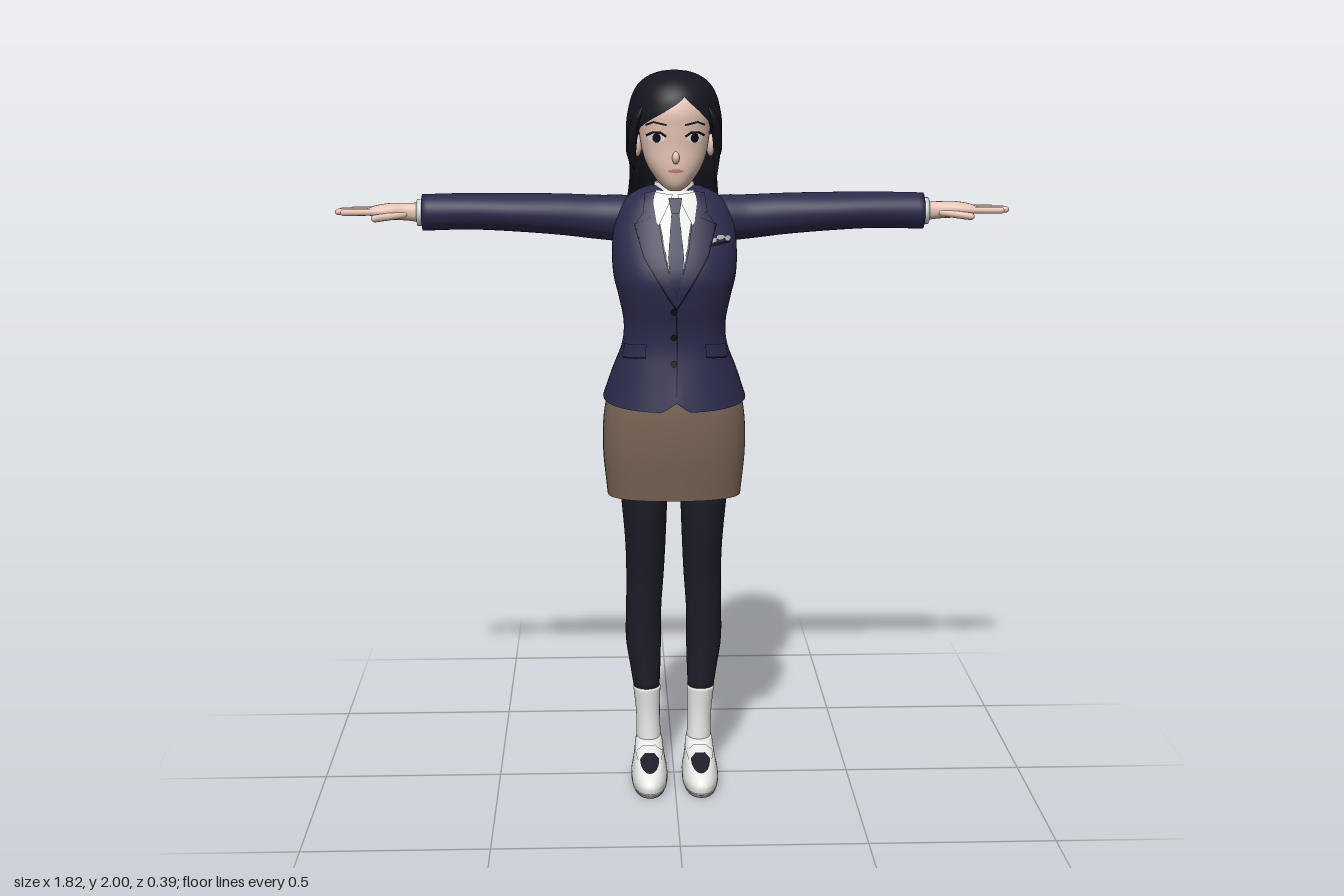
import * as THREE from 'three';
import { mergeVertices } from 'three/addons/utils/BufferGeometryUtils.js';

const paint = (name, color) => {
  const m = new THREE.MeshStandardMaterial({ color, side: THREE.DoubleSide });
  m.name = name;
  return m;
};

// Smooth lookup in a table of rows [t, a, b, ...], ascending in t
function at(rows, t) {
  let i = 0;
  while (i < rows.length - 2 && rows[i + 1][0] < t) i++;
  const slope = (k, c) => {
    const a = rows[Math.max(k - 1, 0)], b = rows[Math.min(k + 1, rows.length - 1)];
    return (b[c] - a[c]) / (b[0] - a[0]);
  };
  const A = rows[i], B = rows[i + 1], h = B[0] - A[0], s = THREE.MathUtils.clamp((t - A[0]) / h, 0, 1);
  const s2 = s * s, s3 = s2 * s;
  return A.map((v, c) => c === 0 ? t : (2 * s3 - 3 * s2 + 1) * v + (s3 - 2 * s2 + s) * h * slope(i, c)
    + (3 * s2 - 2 * s3) * B[c] + (s3 - s2) * h * slope(i + 1, c));
}

// Surface from a grid of points fn(u, v), u and v in 0..1
function grid(nu, nv, fn) {
  const pos = [], idx = [];
  for (let j = 0; j <= nv; j++) for (let i = 0; i <= nu; i++) pos.push(...fn(i / nu, j / nv, j));
  for (let j = 0; j < nv; j++) for (let i = 0; i < nu; i++) {
    const a = j * (nu + 1) + i, b = a + nu + 1;
    idx.push(a, a + 1, b + 1, a, b + 1, b);
  }
  let g = new THREE.BufferGeometry();
  g.setAttribute('position', new THREE.Float32BufferAttribute(pos, 3));
  g.setIndex(idx);
  g = mergeVertices(g, 1e-5);
  g.computeVertexNormals();
  return g;
}

const spow = (v, e) => Math.sign(v) * Math.abs(v) ** e;

// Closed upright body from rows [y, centreX, halfWidth, zFront, zBack]
function loft(rows, { p = 2, nv = 28, nu = 40, caps = true, warp = null } = {}) {
  const y0 = rows[0][0], y1 = rows[rows.length - 1][0], extra = caps ? 1 : 0;
  return grid(nu, nv + 2 * extra, (u, _, j) => {
    const k = THREE.MathUtils.clamp((j - extra) / nv, 0, 1);
    const [y, cx, hw, zf, zb] = at(rows, y0 + (y1 - y0) * k);
    const r = caps && (j === 0 || j === nv + 2) ? 0 : 1;
    const a = (u * 2 - 1) * Math.PI, e = 2 / p;
    const v = [cx + r * hw * spow(Math.sin(a), e), y, (zf + zb) / 2 + r * (zf - zb) / 2 * spow(Math.cos(a), e)];
    if (warp) warp(v);
    return v;
  });
}

// Front surface depth of a loft, for details that lie on it
const front = (rows, p = 2) => (x, y) => {
  const [, cx, hw, zf, zb] = at(rows, y);
  const u = Math.min(0.998, Math.abs(x - cx) / hw);
  return (zf + zb) / 2 + (zf - zb) / 2 * (1 - u ** p) ** (1 / p);
};

// Thin plate on a surface; each row is a segment [xa, ya, xb, yb]
function drape(surf, rows, off) {
  const n = (rows.length - 1) * 4;
  const g = grid(8, n, (u, v) => {
    const f = v * (rows.length - 1), i = Math.min(Math.floor(f), rows.length - 2), k = f - i;
    const [xa, ya, xb, yb] = rows[i].map((q, c) => q + (rows[i + 1][c] - q) * k);
    const x = xa + (xb - xa) * u, y = ya + (yb - ya) * u;
    return [x, y, surf(x, y) + off];
  });
  const N = g.attributes.normal;
  let sum = 0;
  for (let i = 0; i < N.count; i++) sum += N.getZ(i);
  if (sum < 0) {
    g.index.array.reverse();
    g.computeVertexNormals();
  }
  return g;
}
const oval = (cx, cy, rx, ry) => Array.from({ length: 9 }, (_, i) => {
  const a = Math.PI * i / 8, x = cx - rx * Math.cos(a), h = ry * Math.sin(a);
  return [x, cy - h, x, cy + h];
});
const stroke = (pts, w) => pts.map(([x, y], i) => {
  const a = pts[Math.max(i - 1, 0)], b = pts[Math.min(i + 1, pts.length - 1)];
  const dx = b[0] - a[0], dy = b[1] - a[1], k = w / 2 / Math.hypot(dx, dy);
  return [x - dy * k, y + dx * k, x + dy * k, y - dx * k];
});

export function createModel() {
  const model = new THREE.Group();
  const skin = paint('skin', 0xe6c4b4), hair = paint('hair', 0x15161f), navy = paint('jacket navy', 0x2c2b4c);
  const brown = paint('skirt brown', 0x7b6656), stocking = paint('stocking', 0x1d1d28), white = paint('white', 0xe6e6e4);
  const tieBlue = paint('tie blue', 0x23264a), ink = paint('ink', 0x0e0e14), lip = paint('lip', 0xbf7f74), grey = paint('sole grey', 0xb4b4b4);
  const add = (name, geo, mat) => {
    const m = new THREE.Mesh(geo, mat);
    m.name = name;
    model.add(m);
    return m;
  };
  const rod = (name, a, b, r, mat) => {
    const A = new THREE.Vector3(...a), d = new THREE.Vector3(...b).sub(A);
    const m = add(name, new THREE.CapsuleGeometry(r, d.length(), 5, 10), mat);
    m.position.copy(A).addScaledVector(d, 0.5);
    m.quaternion.setFromUnitVectors(new THREE.Vector3(0, 1, 0), d.normalize());
  };

  // Head, neck and face
  const head = [[1.688, 0, 0.018, 0.125, 0.06], [1.7, 0, 0.036, 0.137, 0.03], [1.73, 0, 0.06, 0.146, 0], [1.76, 0, 0.077, 0.149, -0.03],
    [1.8, 0, 0.089, 0.149, -0.06], [1.85, 0, 0.095, 0.153, -0.08], [1.9, 0, 0.093, 0.153, -0.08], [1.95, 0, 0.07, 0.125, -0.06], [1.975, 0, 0.03, 0.08, -0.02]];
  const face = front(head, 2.2);
  add('head', loft(head, { p: 2.2 }), skin);
  add('neck', new THREE.CylinderGeometry(0.042, 0.048, 0.14, 24), skin).position.set(0, 1.68, 0.025);
  const nose = add('nose', new THREE.SphereGeometry(0.011, 16, 12), skin);
  nose.scale.set(0.9, 1.5, 1.3);
  nose.position.set(0, 1.777, 0.151);
  add('mouth', drape(face, oval(0, 1.742, 0.021, 0.005), 0.002), lip);
  for (const s of [-1, 1]) {
    const e = 0.05 * s;
    add('eyeWhite', drape(face, oval(e, 1.828, 0.022, 0.012), 0.002), white);
    add('iris', drape(face, oval(e, 1.828, 0.011, 0.012), 0.004), ink);
    add('eyelash', drape(face, stroke([[e - 0.025 * s, 1.832], [e - 0.01 * s, 1.842], [e + 0.01 * s, 1.842], [e + 0.027 * s, 1.833]], 0.006), 0.005), ink);
    add('eyebrow', drape(face, stroke([[e - 0.026 * s, 1.862], [e + 0.008 * s, 1.869], [e + 0.028 * s, 1.86]], 0.005), 0.003), hair);
    const ear = add('ear', new THREE.SphereGeometry(0.03, 16, 12), skin);
    ear.scale.set(0.4, 1, 0.65);
    ear.position.set(0.098 * s, 1.8, 0.012);
  }

  // Hair rows: y, half width, zFront, zBack, opening angle to the right (-x), to the left (+x)
  const mane = [[1.48, 0.115, -0.12, -0.19, 1.7, 1.7], [1.53, 0.13, -0.075, -0.182, 1.72, 1.72], [1.6, 0.135, 0, -0.166, 1.75, 1.75],
    [1.66, 0.131, 0.07, -0.147, 1.85, 1.85], [1.72, 0.125, 0.13, -0.133, 1.85, 1.85], [1.76, 0.126, 0.145, -0.127, 1.8, 1.8],
    [1.8, 0.128, 0.16, -0.12, 1.5, 1.5], [1.84, 0.128, 0.17, -0.115, 0.98, 0.98], [1.87, 0.127, 0.174, -0.113, 0.62, 0.75],
    [1.9, 0.122, 0.174, -0.109, 0.2, 0.5], [1.935, 0.112, 0.165, -0.1, -0.2, 0.2], [1.965, 0.094, 0.142, -0.078, -0.2, 0.2],
    [1.985, 0.067, 0.112, -0.048, -0.2, 0.2], [1.996, 0.036, 0.08, -0.012, -0.2, 0.2], [2, 0.001, 0.035, 0.033, -0.2, 0.2]];
  add('longHair', grid(96, 56, (u, v) => {
    const k = 1 - (1 - v) ** 1.5;
    const [y, hw, zf, zb, aR, aL] = at(mane, 1.48 + 0.52 * k);
    const a = aL + (Math.PI * 2 - aR - aL) * u;
    const ridge = 1 + 0.014 * Math.cos(15 * a) * THREE.MathUtils.clamp((1.93 - y) / 0.15, 0, 1);
    const tips = 0.014 * Math.cos(15 * a) * THREE.MathUtils.clamp((1.58 - y) / 0.1, 0, 1);
    return [hw * ridge * Math.sin(a), y + tips, (zf + zb) / 2 + (zf - zb) / 2 * ridge * Math.cos(a)];
  }), hair);
  for (const s of [-1, 1]) add('sideLock', loft([[s > 0 ? 1.7 : 1.74, 0.108 * s, 0.002, 0.066, 0.06], [1.78, 0.112 * s, 0.009, 0.088, 0.055],
    [1.83, 0.111 * s, 0.013, 0.116, 0.06], [1.88, 0.098 * s, 0.014, 0.135, 0.06], [1.91, 0.085 * s, 0.008, 0.13, 0.07]]), hair);

  // Jacket body with a curved hem
  const torso = [[1.12, 0, 0.195, 0.197, -0.137], [1.2, 0, 0.169, 0.18, -0.095], [1.27, 0, 0.143, 0.17, -0.066], [1.33, 0, 0.138, 0.173, -0.058],
    [1.4, 0, 0.151, 0.188, -0.073], [1.46, 0, 0.165, 0.193, -0.085], [1.53, 0, 0.168, 0.167, -0.088], [1.6, 0, 0.159, 0.126, -0.085],
    [1.655, 0, 0.132, 0.096, -0.074], [1.68, 0, 0.1, 0.08, -0.062], [1.695, 0, 0.06, 0.062, -0.04]];
  const chest = front(torso, 2.3);
  add('jacketBody', loft(torso, {
    p: 2.3, nv: 48, nu: 80, caps: false, warp: v => {
      const k = THREE.MathUtils.clamp((1.2 - v[1]) / 0.08, 0, 1);
      v[1] += k * (0.005 - 0.1 * v[2]);
      if (v[2] > 0) v[1] += k * 0.025 * Math.max(0, 1 - Math.abs(v[0]) / 0.035);
    }
  }), navy);

  // Shirt, tie, lapels and fastening
  add('shirtFront', drape(chest, [[-0.05, 1.685, 0.05, 1.685], [-0.045, 1.62, 0.045, 1.62], [-0.022, 1.5, 0.022, 1.5], [0, 1.41, 0, 1.41]], 0.004), white);
  add('shirtCollar', loft([[1.65, 0, 0.066, 0.095, -0.045], [1.68, 0, 0.058, 0.083, -0.035], [1.705, 0, 0.052, 0.072, -0.03]], { caps: false, nv: 6 }), white);
  add('tieKnot', drape(chest, [[-0.018, 1.668, 0.018, 1.668], [-0.011, 1.63, 0.011, 1.63]], 0.019), tieBlue);
  add('tie', drape(chest, [[-0.01, 1.632, 0.01, 1.632], [-0.021, 1.52, 0.021, 1.52], [-0.012, 1.4, 0.012, 1.4]], 0.008), tieBlue);
  for (const s of [-1, 1]) {
    const flip = rows => rows.map(r => r.map((q, c) => c % 2 ? q : q * s));
    add('collarPoint', drape(chest, flip([[0.006, 1.676, 0.054, 1.682], [0.02, 1.645, 0.058, 1.655], [0.044, 1.6, 0.05, 1.605]]), 0.014), white);
    add('lapel', drape(chest, flip([[0.052, 1.685, 0.08, 1.678], [0.046, 1.62, 0.086, 1.63], [0.044, 1.61, 0.106, 1.6], [0.032, 1.53, 0.082, 1.52], [0, 1.41, 0.022, 1.42], [0, 1.385, 0.003, 1.385]]), 0.011), navy);
    add('lapelEdge', drape(chest, stroke(flip([[0.084, 1.634], [0.066, 1.618], [0.108, 1.6], [0.084, 1.52], [0.024, 1.42], [0.002, 1.385]]), 0.004), 0.012), ink);
    add('pocketFlap', drape(chest, flip([[0.078, 1.285, 0.136, 1.278], [0.082, 1.25, 0.144, 1.243]]), 0.007), navy);
    add('pocketEdge', drape(chest, stroke(flip([[0.08, 1.25], [0.112, 1.246], [0.14, 1.243]]), 0.004), 0.008), ink);
  }
  add('frontSeam', drape(chest, stroke([[0, 1.385], [0.003, 1.3], [0.003, 1.22], [0, 1.145]], 0.004), 0.003), ink);
  for (const y of [1.375, 1.305, 1.235]) add('button', drape(chest, oval(-0.006, y, 0.009, 0.009), 0.007), ink);
  add('breastPocket', drape(chest, stroke([[0.085, 1.545], [0.115, 1.55], [0.145, 1.553]], 0.006), 0.004), ink);
  for (const [x, y, r] of [[0.1, 1.56, 0.01], [0.12, 1.566, 0.012], [0.14, 1.562, 0.009]]) add('pocketSquare', drape(chest, oval(x, y, r, 0.007), 0.006), grey);

  // Skirt
  add('skirt', loft([[0.84, 0, 0.185, 0.118, -0.097], [0.98, 0, 0.197, 0.14, -0.112], [1.1, 0, 0.189, 0.146, -0.11], [1.2, 0, 0.155, 0.135, -0.075]],
    { p: 2.4, caps: false }), brown);

  const shoe = [[0.01, 0.072, 0.05, 0.193, -0.068], [0.035, 0.072, 0.051, 0.192, -0.069], [0.06, 0.072, 0.046, 0.165, -0.067],
    [0.08, 0.072, 0.042, 0.115, -0.066], [0.1, 0.072, 0.039, 0.06, -0.064], [0.112, 0.072, 0.036, 0.038, -0.062]];
  for (const s of [-1, 1]) {
    const side = rows => rows.map(([t, c, ...rest]) => [t, c * s, ...rest]);
    // Legs, socks and shoes
    add('leg', loft(side([[0.25, 0.077, 0.036, 0.022, -0.058], [0.32, 0.081, 0.043, 0.022, -0.07], [0.4, 0.086, 0.05, 0.025, -0.08], [0.5, 0.085, 0.05, 0.034, -0.075],
      [0.6, 0.081, 0.053, 0.046, -0.082], [0.7, 0.08, 0.057, 0.066, -0.086], [0.84, 0.083, 0.066, 0.085, -0.088], [1, 0.085, 0.08, 0.095, -0.09]])), stocking);
    add('sock', loft(side([[0.05, 0.072, 0.036, 0.04, -0.058], [0.1, 0.072, 0.035, 0.03, -0.058], [0.18, 0.074, 0.034, 0.023, -0.056], [0.262, 0.077, 0.039, 0.027, -0.062]])), white);
    add('shoe', loft(side(shoe), { p: 2.3 }), white);
    add('sole', loft(side([[0, 0.072, 0.046, 0.187, -0.064], [0.014, 0.072, 0.051, 0.195, -0.07]]), { p: 2.3, nv: 2 }), grey);
    const top = front(side(shoe), 2.3), x = 0.072 * s;
    add('shoeOpening', drape(top, oval(x, 0.08, 0.027, 0.017), 0.004), stocking);
    add('shoeStrap', drape(top, stroke([[x - 0.037, 0.084], [x - 0.015, 0.1], [x + 0.015, 0.1], [x + 0.037, 0.084]], 0.013), 0.009), white);

    // Arms, lofted upright and then laid out sideways
    const limb = (name, rows, mat, opt) => add(name, loft(rows.map(([t, y, ...r]) => [t, -s * y, ...r]), opt).rotateZ(-s * Math.PI / 2), mat);
    limb('sleeve', [[0.06, 1.605, 0.05, 0.04, -0.06], [0.13, 1.602, 0.062, 0.045, -0.08], [0.2, 1.604, 0.06, 0.036, -0.085], [0.3, 1.612, 0.056, 0.04, -0.083],
      [0.42, 1.618, 0.052, 0.046, -0.087], [0.55, 1.622, 0.049, 0.045, -0.076], [0.678, 1.62, 0.049, 0.043, -0.06]], navy, { nv: 40 });
    limb('shirtCuff', [[0.66, 1.62, 0.036, 0.033, -0.048], [0.692, 1.62, 0.036, 0.033, -0.048]], white, { nv: 3 });
    limb('palm', [[0.67, 1.62, 0.028, 0.022, -0.036], [0.72, 1.622, 0.023, 0.022, -0.033], [0.76, 1.624, 0.022, 0.033, -0.038], [0.805, 1.624, 0.015, 0.034, -0.043],
      [0.825, 1.624, 0.008, 0.028, -0.038]], skin, { p: 2.4 });
    [[0.032, 0.885], [0.01, 0.902], [-0.014, 0.896], [-0.04, 0.868]].forEach(([z, tip]) =>
      rod('finger', [0.8 * s, 1.624, z * 0.8 - 0.002], [tip * s, 1.624, z], 0.0088, skin));
    rod('thumb', [0.725 * s, 1.617, 0.015], [0.8 * s, 1.61, 0.049], 0.01, skin);
  }
  return model;
}
